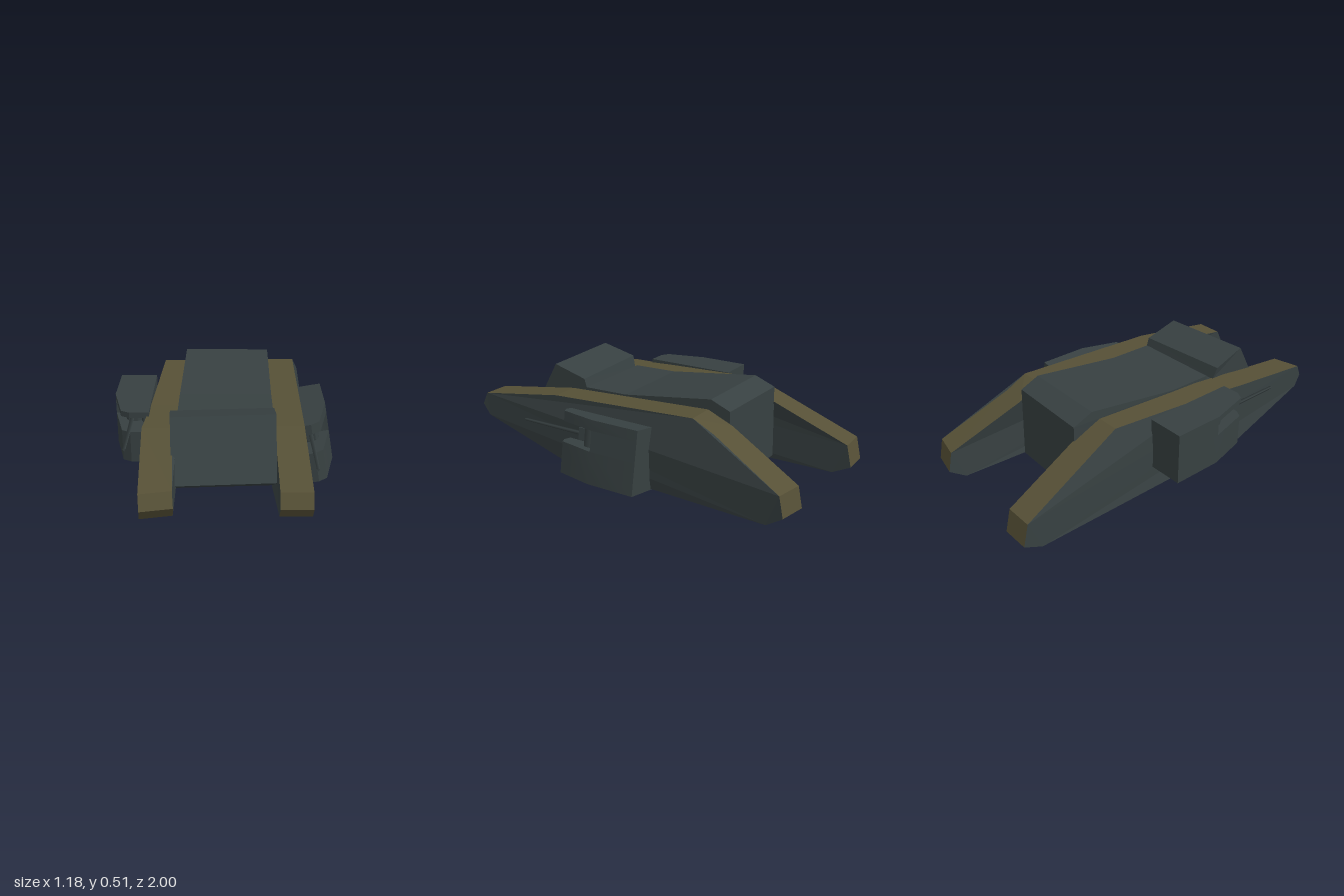
import * as THREE from 'three';
import { toCreasedNormals } from 'three/addons/utils/BufferGeometryUtils.js';

// Shells are open underneath, so both sides show
const steel = new THREE.MeshStandardMaterial({ color: 0x374041, side: THREE.DoubleSide });
steel.name = 'grey green steel';
const mud = new THREE.MeshStandardMaterial({ color: 0x565036, side: THREE.DoubleSide });
mud.name = 'muddy brown track';

// Faceted shell across x. Points run front, top, rear, bottom: [z, y, xMin, xMax, skew].
// Edges listed in openEdges are left out.
function prism(name, pts, openEdges, edgeMaterial = 0) {
  const pos = [];
  const geo = new THREE.BufferGeometry();
  const at = (p, right) => [right ? p[3] : p[2], p[1], p[0] + (right ? 1 : -1) * (p[4] || 0)];
  const tri = (a, b, c) => pos.push(...a, ...b, ...c);
  pts.forEach((p, i) => {
    if (openEdges.includes(i)) return;
    const q = pts[(i + 1) % pts.length];
    geo.addGroup(pos.length / 3, 6, edgeMaterial);
    tri(at(p, true), at(q, true), at(q, false));
    tri(at(p, true), at(q, false), at(p, false));
  });
  const start = pos.length / 3;
  const flat = pts.map(p => new THREE.Vector2(p[0], p[1]));
  for (const [a, b, c] of THREE.ShapeUtils.triangulateShape(flat.slice(), [])) {
    const ccw = THREE.ShapeUtils.area([flat[a], flat[b], flat[c]]) > 0;
    const [u, v] = ccw ? [c, b] : [b, c];
    tri(at(pts[a], true), at(pts[u], true), at(pts[v], true));
    tri(at(pts[a], false), at(pts[v], false), at(pts[u], false));
  }
  geo.addGroup(start, pos.length / 3 - start, 0);
  geo.setAttribute('position', new THREE.Float32BufferAttribute(pos, 3));
  geo.computeVertexNormals();
  const mesh = new THREE.Mesh(geo, [steel, mud]);
  mesh.name = name;
  return mesh;
}

// Track frame, open along its flat underside; each point carries a sideways bend and a skew
function track(name, x0, profile) {
  const pts = profile.map(([z, y, dx, skew]) => [z, y, x0 + dx, x0 + dx + 0.15, skew]);
  return prism(name, pts, [pts.length - 2], 1);
}

// Horizontal slab of a sponson from a plan outline; an open one has no underside
function slab(name, shape, y, height, open) {
  let geo = new THREE.ExtrudeGeometry(shape, { depth: height, bevelEnabled: false, curveSegments: 8 });
  geo.rotateX(-Math.PI / 2);
  if (open) {
    const src = geo.attributes.position;
    const pos = [];
    for (let i = 0; i < src.count; i += 3) {
      const corners = [i, i + 1, i + 2];
      if (corners.every(k => src.getY(k) < 1e-4)) continue;
      corners.forEach(k => pos.push(src.getX(k), src.getY(k), src.getZ(k)));
    }
    geo = new THREE.BufferGeometry();
    geo.setAttribute('position', new THREE.Float32BufferAttribute(pos, 3));
  }
  geo = toCreasedNormals(geo, 0.5);
  geo.translate(0, y, 0);
  const mesh = new THREE.Mesh(geo, steel);
  mesh.name = name;
  return mesh;
}

// Side gun housing, s = 1 for +x and -1 for -x
function sponson(name, s, height, floorHeight, roofHeight) {
  const g = new THREE.Group();
  g.name = name;
  const w = 0.2;
  const plan = new THREE.Shape([[0, -0.195], [w, -0.195], [w, 0.08], [0.145, 0.3], [0.1, 0.325], [0, 0.325]]
    .map(([x, z]) => new THREE.Vector2(s * x, -z)));
  const wall = new THREE.Shape();
  wall.moveTo(0, 0.195);
  wall.lineTo(s * w, 0.195);
  wall.lineTo(s * w, -0.08);
  wall.quadraticCurveTo(s * 0.04, -0.06, s * 0.03, -0.31);
  wall.lineTo(0, -0.31);
  const gap = height - floorHeight - roofHeight;
  g.add(slab('sponsonBase', plan, 0, floorHeight, true));
  g.add(slab('sponsonWall', wall, floorHeight, gap, true));
  g.add(slab('sponsonRoof', plan, height - roofHeight, roofHeight, false));

  // Gun with its mount and mantlet
  const gunY = floorHeight + gap * 0.5;
  const mount = new THREE.Mesh(new THREE.CylinderGeometry(0.05, 0.05, gap, 12), steel);
  mount.name = 'gunMount';
  mount.position.set(s * 0.09, floorHeight + gap / 2, 0.14);
  const mantlet = new THREE.Mesh(new THREE.BoxGeometry(0.045, gap * 0.6, 0.05), steel);
  mantlet.name = 'gunMantlet';
  mantlet.position.set(s * 0.095, gunY, 0.195);
  const barrel = new THREE.Mesh(new THREE.CylinderGeometry(0.009, 0.013, 0.42, 3).rotateX(Math.PI / 2), steel);
  barrel.name = 'gunBarrel';
  barrel.position.set(s * 0.095, gunY, 0.395);
  g.add(mount, mantlet, barrel);
  return g;
}

export function createModel() {
  const model = new THREE.Group();
  model.name = 'wreckedTank';

  // Hull with raised rear roof, open below and into the cab
  model.add(prism('hull', [
    [0.34, 0.045, -0.25, 0.24], [0.34, 0.41, -0.25, 0.24], [0.08, 0.415, -0.25, 0.24],
    [-0.44, 0.485, -0.235, 0.24, 0.005], [-0.55, 0.44, -0.235, 0.24, 0.008], [-0.56, 0.045, -0.235, 0.24, 0.008],
  ], [0, 5]));

  // Front cab and nose, knocked slightly askew
  model.add(prism('cab', [
    [0.43, 0.045, -0.265, 0.24, -0.015], [0.73, 0.225, -0.258, 0.24, -0.017],
    [0.567, 0.508, -0.268, 0.24, -0.017], [0.37, 0.455, -0.282, 0.24, -0.018],
    [0.35, 0.39, -0.27, 0.24, -0.018], [0.3, 0.045, -0.26, 0.24, 0],
  ], [4, 5]));

  // Left track, bent outward at the rear
  model.add(track('leftTrack', 0.24, [
    [0.935, 0.18, 0, 0], [0.98, 0.24, 0, 0], [0.945, 0.31, 0, 0], [0.43, 0.39, 0, 0],
    [-0.42, 0.43, 0, 0], [-0.55, 0.37, 0, 0.01], [-0.935, 0.18, 0.075, 0.015],
    [-0.958, 0.07, 0.075, 0.015], [-0.87, 0.01, 0.065, 0.015], [0.37, 0.01, 0, 0],
  ]));

  // Right track, buckled along its length
  model.add(track('rightTrack', -0.42, [
    [0.945, 0.18, 0.03, -0.015], [0.985, 0.24, 0.035, -0.015], [0.95, 0.31, 0.03, -0.015], [0.45, 0.388, 0, 0],
    [0.2, 0.4, 0.025, 0], [-0.4, 0.43, 0.06, 0], [-0.972, 0.18, 0, 0],
    [-1, 0.06, 0, 0], [-0.9, 0.01, 0, 0], [0.37, 0.01, 0, 0],
  ]));

  // Sponsons: the left one sags, the right one sits high
  const left = sponson('leftSponson', 1, 0.335, 0.17, 0.055);
  left.position.set(0.393, 0, 0);
  left.rotation.z = 0.174;
  const right = sponson('rightSponson', -1, 0.28, 0.17, 0.03);
  right.position.set(-0.395, 0.135, 0);
  model.add(left, right);
  return model;
}
